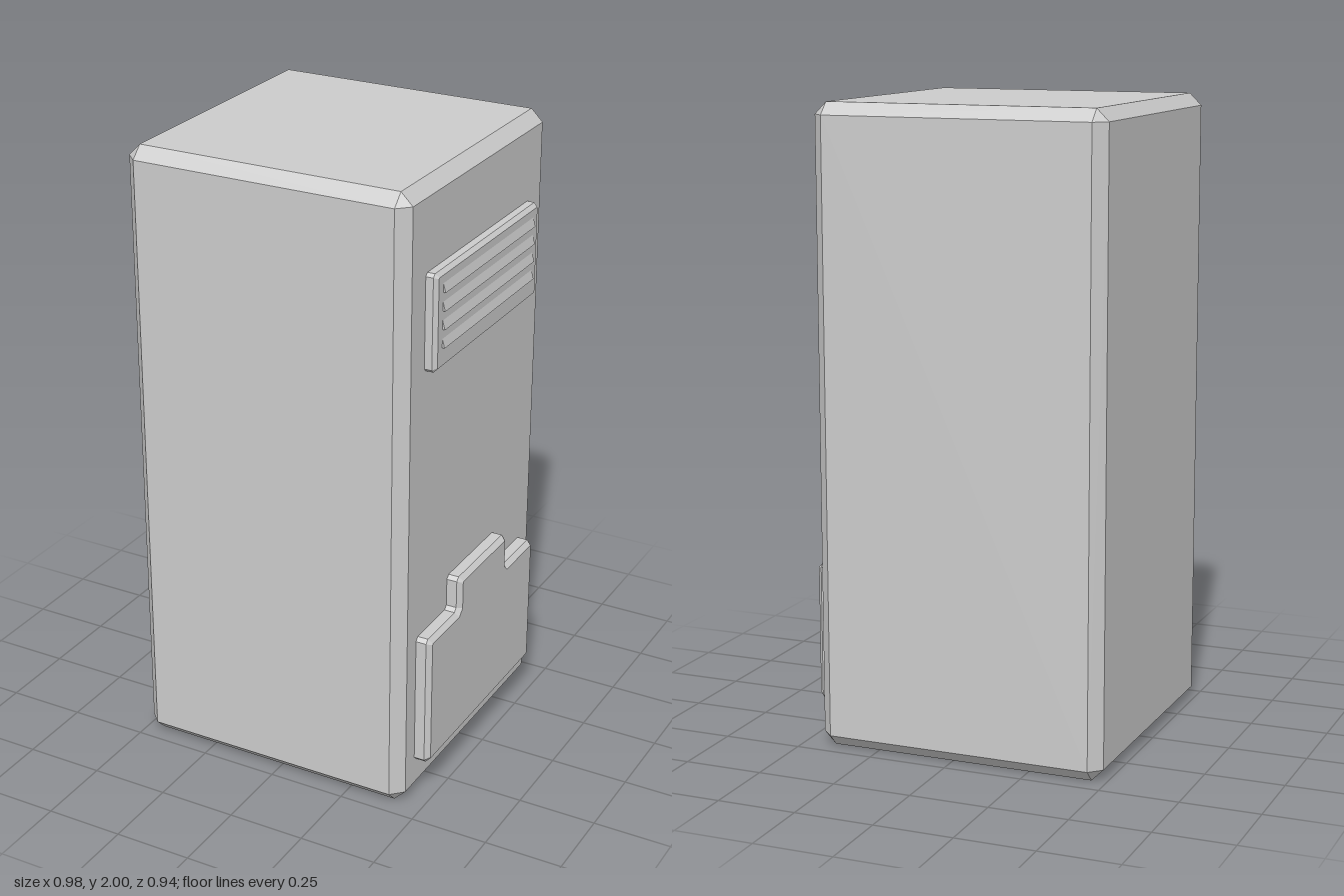
import * as THREE from 'three';
import { ConvexGeometry } from 'three/addons/geometries/ConvexGeometry.js';

const material = new THREE.MeshStandardMaterial({ color: 0xcccccc, flatShading: true });

// Box with every edge cut at 45 degrees, given its centre, half sizes and cut
function chamferedBox(centre, half, cut) {
  const points = [];
  for (const sx of [-1, 1]) for (const sy of [-1, 1]) for (const sz of [-1, 1]) {
    for (let full = 0; full < 3; full++) {
      const p = half.map((h, i) => (i === full ? h : h - cut));
      points.push(new THREE.Vector3(
        centre[0] + sx * p[0], centre[1] + sy * p[1], centre[2] + sz * p[2]));
    }
  }
  return new ConvexGeometry(points);
}

// Bevelled plate on the +x side, from an outline of [z, y] points
function sidePlate(outline, frontX, bevel) {
  const backX = 0.41;
  const shape = new THREE.Shape(outline.map(([z, y]) => new THREE.Vector2(-z, y)));
  const geometry = new THREE.ExtrudeGeometry(shape, {
    depth: frontX - backX - 2 * bevel,
    bevelEnabled: true, bevelSegments: 1,
    bevelThickness: bevel, bevelSize: bevel, bevelOffset: -bevel,
  });
  geometry.rotateY(Math.PI / 2);
  return geometry.translate(backX + bevel, 0, 0);
}

export function createModel() {
  const model = new THREE.Group();
  const add = (name, geometry, parent = model) => {
    const mesh = new THREE.Mesh(geometry, material);
    mesh.name = name;
    parent.add(mesh);
    return mesh;
  };

  // Cabinet
  add('cabinet', chamferedBox([-0.025, 1, 0], [0.465, 1, 0.468], 0.038));

  // Stepped lower panel with clipped corners
  const c = 0.012;
  const half = [
    [0.372 - c, 0.12], [0.372, 0.12 + c], [0.372, 0.562 - c], [0.372 - c, 0.562],
    [0.167 + c, 0.562], [0.167, 0.562 + c], [0.167, 0.677 - c], [0.167 - c, 0.677],
  ];
  const mirrored = half.map(([z, y]) => [-z, y]).reverse();
  add('lowerPanel', sidePlate([...half, ...mirrored], 0.489, 0.015));

  // Vent plate
  const vent = new THREE.Group();
  vent.name = 'vent';
  model.add(vent);
  const w = 0.346, y0 = 1.434, y1 = 1.738, k = 0.01;
  add('ventPlate', sidePlate([
    [w - k, y0], [w, y0 + k], [w, y1 - k], [w - k, y1],
    [k - w, y1], [-w, y1 - k], [-w, y0 + k], [k - w, y0],
  ], 0.476, 0.012), vent);

  // Louvres: wedges sloping outward toward their lower edge
  const wedge = new THREE.Shape([
    new THREE.Vector2(0.47, 0), new THREE.Vector2(0.484, 0),
    new THREE.Vector2(0.476, 0.028), new THREE.Vector2(0.47, 0.028),
  ]);
  const louvre = new THREE.ExtrudeGeometry(wedge, { depth: 0.612, bevelEnabled: false });
  for (let i = 0; i < 4; i++) {
    add('louvre', louvre, vent).position.set(0, 1.502 + i * 0.057, -0.306);
  }
  return model;
}
